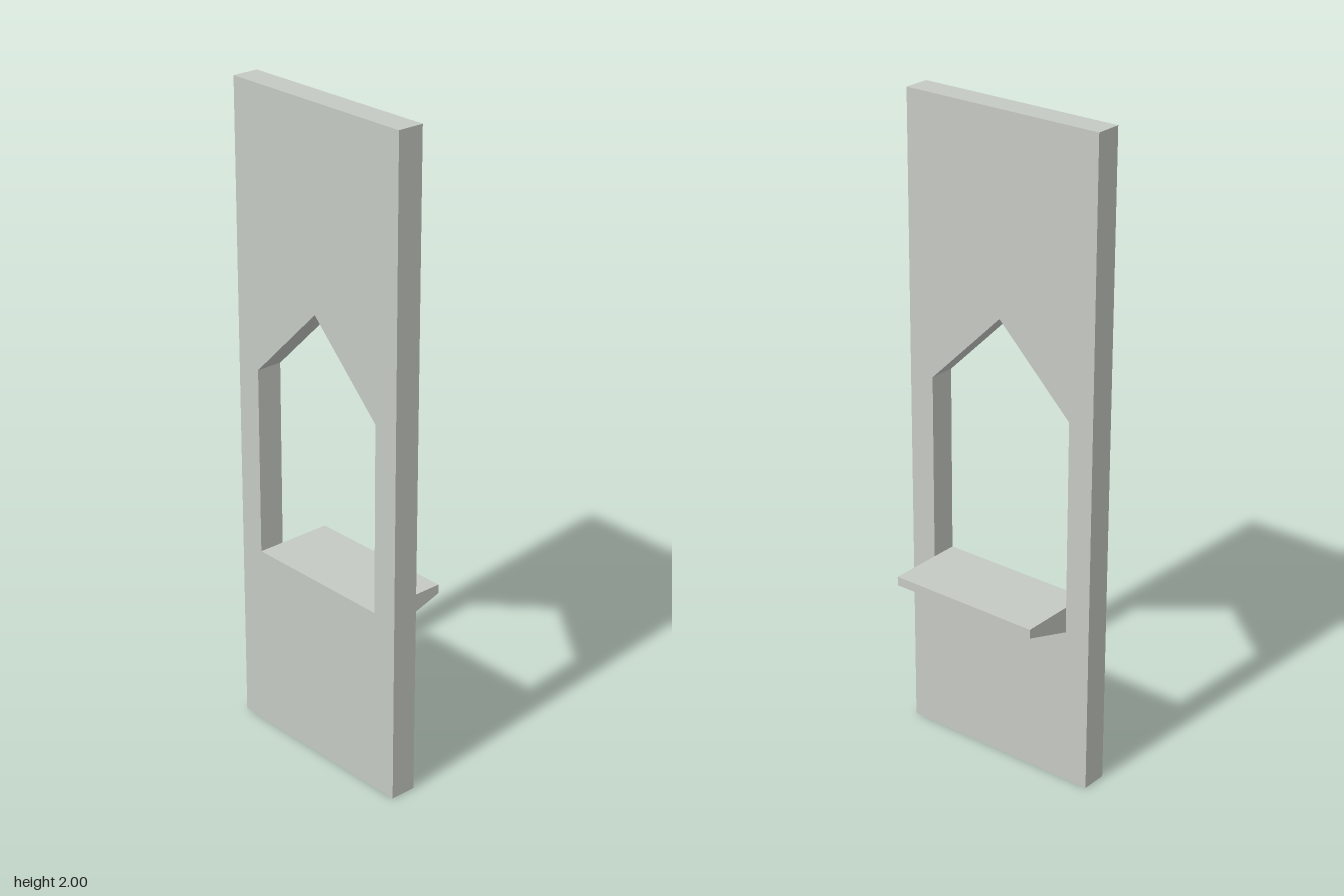
import * as THREE from 'three';

const HALF_OPENING = 0.247;
const SILL_TOP = 0.577;
const WALL_BACK = 0.042;

function polygon(points, Type = THREE.Shape) {
  return new Type(points.map(([x, y]) => new THREE.Vector2(x, y)));
}

export function createModel() {
  const model = new THREE.Group();
  model.name = 'wallPanelWithOpening';

  const stone = new THREE.MeshStandardMaterial({ color: 0xc6cac3 });
  stone.name = 'pale grey stone';

  // Tall wall slab with a gabled opening cut through it
  const wallShape = polygon([[-0.329, 0], [0.329, 0], [0.329, 2], [-0.329, 2]]);
  wallShape.holes.push(polygon([
    [-HALF_OPENING, SILL_TOP], [-HALF_OPENING, 1.157], [0, 1.4],
    [HALF_OPENING, 1.157], [HALF_OPENING, SILL_TOP],
  ], THREE.Path));
  const wallGeometry = new THREE.ExtrudeGeometry(wallShape, { depth: 0.082, bevelEnabled: false });
  wallGeometry.translate(0, 0, WALL_BACK);
  const wall = new THREE.Mesh(wallGeometry, stone);
  wall.name = 'wall';
  model.add(wall);

  // Ledge behind the opening: its (z, y) section tapers away from the wall
  const ledgeShape = polygon([[WALL_BACK, 0.496], [WALL_BACK, SILL_TOP], [-0.124, SILL_TOP], [-0.124, 0.549]]);
  const ledgeGeometry = new THREE.ExtrudeGeometry(ledgeShape, { depth: 2 * HALF_OPENING, bevelEnabled: false });
  ledgeGeometry.rotateY(-Math.PI / 2);
  ledgeGeometry.translate(HALF_OPENING, 0, 0);
  const ledge = new THREE.Mesh(ledgeGeometry, stone);
  ledge.name = 'ledge';
  model.add(ledge);

  return model;
}
